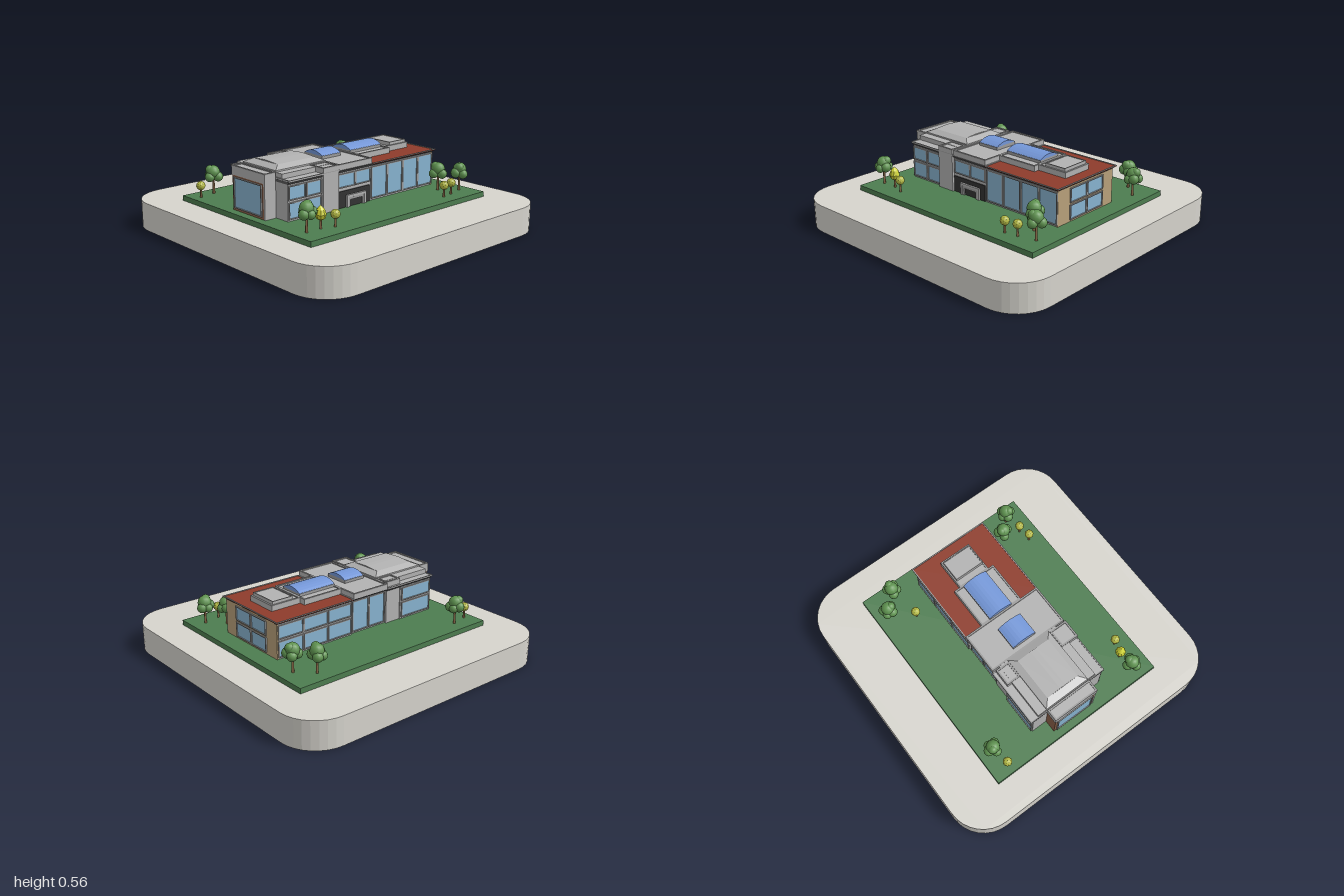
import * as THREE from 'three';

const paint = (color, extra = {}) => new THREE.MeshStandardMaterial({ color, ...extra });
const M = {
  plinth: paint(0xd6d4cd), lawn: paint(0x4d7d50), grey: paint(0xb2b2b2), trim: paint(0x9c9c9c),
  dark: paint(0x5c5c5c), door: paint(0x333333), tan: paint(0xb8a07a), brick: paint(0x8a6048),
  red: paint(0x8e3c2b), glass: paint(0x88b4d0), skylight: paint(0x7497d8),
  trunk: paint(0x8a6a48), leaf: paint(0x5f9350), bush: paint(0xb4b944, { flatShading: true }),
  lemon: paint(0xd0d436, { flatShading: true }),
};

export function createModel() {
  const model = new THREE.Group();
  model.name = 'officeBuilding';

  const add = (name, geo, mat, parent = model) => {
    const mesh = new THREE.Mesh(geo, mat);
    mesh.name = name;
    parent.add(mesh);
    return mesh;
  };
  // Box from its limits
  const box = (name, mat, x0, x1, y0, y1, z0, z1, parent = model) => {
    const m = add(name, new THREE.BoxGeometry(x1 - x0, y1 - y0, z1 - z0), mat, parent);
    m.position.set((x0 + x1) / 2, (y0 + y1) / 2, (z0 + z1) / 2);
    return m;
  };
  // Box whose top is widened (+) or narrowed (-) by dx, dz on each side
  const taper = (name, mat, x0, x1, y0, y1, z0, z1, dx, dz) => {
    const m = box(name, mat, x0, x1, y0, y1, z0, z1);
    const p = m.geometry.attributes.position;
    for (let i = 0; i < p.count; i++) {
      if (p.getY(i) < 0) continue;
      p.setX(i, p.getX(i) + Math.sign(p.getX(i)) * dx);
      p.setZ(i, p.getZ(i) + Math.sign(p.getZ(i)) * dz);
    }
    m.geometry = m.geometry.toNonIndexed();
    m.geometry.computeVertexNormals();
    return m;
  };
  const rect = (Type, x0, x1, y0, y1) => new Type([[x0, y0], [x1, y0], [x1, y1], [x0, y1]]
    .map(([x, y]) => new THREE.Vector2(x, y)));
  // Rectangular frame in the xy plane
  const frame = (x0, x1, y0, y1, t, depth) => {
    const s = rect(THREE.Shape, x0, x1, y0, y1);
    s.holes.push(rect(THREE.Path, x0 + t, x1 - t, y0 + t, y1 - t));
    return new THREE.ExtrudeGeometry(s, { depth, bevelEnabled: false });
  };
  // Flat-roofed block with a raised rim
  const parapet = (name, mat, x0, x1, y0, y1, z0, z1, t = 0.012, drop = 0.007) => {
    box(name, mat, x0, x1, y0, y1 - drop, z0, z1);
    const rim = add(name + 'Rim', frame(x0, x1, -z1, -z0, t, drop), M.trim);
    rim.rotation.x = -Math.PI / 2;
    rim.position.y = y1 - drop;
  };
  // Windows on a wall: columns [u0, u1] by rows [v0, v1], u to the viewer's right
  const windows = (name, cols, rows, x, z, angle) => {
    const g = new THREE.Group();
    g.name = name;
    for (const [u0, u1] of cols) for (const [v0, v1] of rows) {
      box('pane', M.glass, u0, u1, v0, v1, -0.01, 0.003, g);
      add('windowFrame', frame(u0 - 0.004, u1 + 0.004, v0 - 0.004, v1 + 0.004, 0.007, 0.009), M.trim, g);
    }
    g.position.set(x, 0, z);
    g.rotation.y = angle;
    model.add(g);
  };

  // Plinth with rounded corners
  const r = 0.25, s = new THREE.Shape();
  [[1, 1, 0], [-1, 1, 1], [-1, -1, 2], [1, -1, 3]].forEach(([sx, sy, q]) =>
    s.absarc(sx * (1 - r), sy * (1 - r), r, q * Math.PI / 2, (q + 1) * Math.PI / 2));
  add('plinth', new THREE.ExtrudeGeometry(s, { depth: 0.19, bevelEnabled: false, curveSegments: 4 }), M.plinth)
    .rotation.x = -Math.PI / 2;
  box('lawn', M.lawn, -0.78, 0.78, 0.19, 0.225, -0.65, 0.65);

  // Walls
  box('westWalls', M.grey, -0.64, -0.36, 0.225, 0.47, -0.27, 0.28);
  box('centreWalls', M.grey, -0.36, 0.06, 0.225, 0.47, -0.25, 0.28);
  box('eastWalls', M.grey, 0.06, 0.65, 0.225, 0.465, -0.26, 0.28);
  box('eastEndWall', M.tan, 0.645, 0.657, 0.225, 0.46, -0.262, 0.282);

  // Windows
  const upper = [0.36, 0.445], lower = [0.24, 0.34], tall = [0.24, 0.447];
  windows('westFrontWindows', [[-0.632, -0.505], [-0.49, -0.375]], [lower, upper], 0, 0.28, 0);
  windows('centreFrontWindows', [[-0.228, -0.09], [-0.08, 0.05]], [upper], 0, 0.28, 0);
  windows('eastFrontWindows', [0, 1, 2, 3].map(i => [0.066 + i * 0.149, 0.204 + i * 0.149]), [tall], 0, 0.28, 0);
  windows('eastEndWindows', [[-0.165, -0.012], [0, 0.152]], [[0.242, 0.335], [0.355, 0.445]], 0.657, 0, Math.PI / 2);
  windows('eastBackWindows', [0, 1, 2].map(i => [-0.645 + i * 0.196, -0.46 + i * 0.196]), [lower, upper], 0, -0.26, Math.PI);
  windows('centreBackWindows', [[-0.045, 0.085], [0.097, 0.228]], [tall], 0, -0.25, Math.PI);
  windows('westBackWindows', [[0.375, 0.63]], [lower, upper], 0, -0.27, Math.PI);

  // Entrance with nested portal
  box('entrance', M.door, -0.235, 0.05, 0.225, 0.335, 0.27, 0.286);
  [[0, 0.305, 0.30, M.grey], [0.016, 0.287, 0.295, M.trim]].forEach(([d, top, z, mat]) => {
    const [a, b, t] = [-0.165 + d, 0.005 - d, 0.016];
    box('portalPost', mat, a, a + t, 0.225, top, 0.28, z);
    box('portalPost', mat, b - t, b, 0.225, top, 0.28, z);
    box('portalLintel', mat, a, b, top - t, top, 0.28, z);
  });

  // East wing roof
  taper('eastCornice', M.dark, 0.06, 0.655, 0.458, 0.474, -0.262, 0.282, 0.016, 0.02);
  parapet('redRoof', M.red, 0.06, 0.672, 0.472, 0.48, -0.284, 0.302, 0.008, 0.004);

  // Centre roof with stepped roof rooms
  taper('centreCornice', M.dark, -0.23, 0.06, 0.458, 0.476, -0.262, 0.282, 0.003, 0.018);
  parapet('centreRoof', M.grey, -0.23, 0.06, 0.474, 0.515, -0.284, 0.292);
  parapet('middleRoofRoom', M.grey, 0.055, 0.36, 0.474, 0.515, -0.155, 0.16);
  parapet('eastRoofRoom', M.grey, 0.355, 0.58, 0.474, 0.515, -0.11, 0.12);
  parapet('roofHatch', M.grey, 0.41, 0.565, 0.505, 0.535, -0.1, 0.11, 0.006, 0.004);

  // Arched skylights
  for (const [x0, x1] of [[-0.19, -0.028], [0.06, 0.348]]) {
    box('skylightCurb', M.trim, x0, x1, 0.505, 0.53, -0.088, 0.088);
    const arch = new THREE.Shape();
    arch.moveTo(-0.09, 0);
    arch.quadraticCurveTo(0, 0.055, 0.09, 0);
    const m = add('skylight', new THREE.ExtrudeGeometry(arch,
      { depth: x1 - x0, bevelEnabled: false, curveSegments: 8 }), M.skylight);
    m.rotation.y = Math.PI / 2;
    m.position.set(x0, 0.528, 0);
  }

  // West roof: ledge, step and hipped top
  taper('westCornice', M.dark, -0.64, -0.23, 0.458, 0.476, -0.272, 0.282, 0.003, 0.016);
  parapet('westLedge', M.grey, -0.642, -0.23, 0.474, 0.485, -0.29, 0.298, 0.008, 0.004);
  box('westRoofStep', M.grey, -0.635, -0.23, 0.48, 0.513, -0.23, 0.225);
  box('hipRoofBase', M.grey, -0.635, -0.232, 0.51, 0.523, -0.165, 0.165);
  taper('hipRoof', M.grey, -0.635, -0.232, 0.523, 0.546, -0.165, 0.165, -0.05, -0.045);
  taper('hipRoofCrown', M.grey, -0.585, -0.282, 0.546, 0.553, -0.12, 0.12, 0, -0.1);

  // Stair towers at front and back
  parapet('frontTower', M.grey, -0.368, -0.238, 0.225, 0.518, 0.17, 0.298);
  parapet('backTower', M.grey, -0.362, -0.24, 0.225, 0.518, -0.264, -0.165);

  // West end bay
  box('westBay', M.brick, -0.724, -0.64, 0.225, 0.46, -0.158, 0.16);
  box('westBayFront', M.grey, -0.726, -0.64, 0.225, 0.46, 0.155, 0.167);
  parapet('westBayRoof', M.grey, -0.728, -0.642, 0.455, 0.517, -0.163, 0.17);
  windows('westBayWindow', [[-0.135, 0.135]], [[0.245, 0.44]], -0.724, 0, -Math.PI / 2);

  // Trees with clustered crowns
  const lobes = [[0, 0.148, 0, 0.046], [-0.03, 0.118, 0.012, 0.034], [0.032, 0.125, 0.008, 0.035],
    [0.006, 0.118, -0.032, 0.033], [0.004, 0.116, 0.034, 0.03], [0.018, 0.165, -0.012, 0.03]];
  const trees = [[-0.69, 0.51], [-0.595, -0.555], [0.58, -0.555], [0.685, -0.455], [0.58, 0.41], [0.685, 0.51]];
  trees.forEach(([x, z], i) => {
    const tree = new THREE.Group();
    tree.name = 'tree';
    add('trunk', new THREE.CylinderGeometry(0.006, 0.009, 0.12, 8), M.trunk, tree).position.y = 0.06;
    for (const [lx, ly, lz, lr] of lobes)
      add('crownLobe', new THREE.SphereGeometry(lr, 12, 8), M.leaf, tree).position.set(lx, ly, lz);
    tree.position.set(x, 0.225, z);
    tree.rotation.y = i * 1.9;
    model.add(tree);
  });

  // Small round shrubs
  for (const [x, z] of [[-0.49, 0.54], [0.475, 0.555], [0.565, 0.54], [-0.715, -0.53], [0.475, -0.41]]) {
    const shrub = new THREE.Group();
    shrub.name = 'shrub';
    add('stem', new THREE.CylinderGeometry(0.006, 0.008, 0.06, 7), M.trunk, shrub).position.y = 0.03;
    add('shrubBall', new THREE.IcosahedronGeometry(0.031, 1), M.bush, shrub).position.y = 0.08;
    shrub.position.set(x, 0.225, z);
    model.add(shrub);
  }

  // Pointed yellow tree
  const yellow = new THREE.Group();
  yellow.name = 'yellowTree';
  add('stem', new THREE.CylinderGeometry(0.006, 0.008, 0.07, 7), M.trunk, yellow).position.y = 0.035;
  const profile = [[0, 0.05], [0.026, 0.063], [0.036, 0.09], [0.026, 0.12], [0, 0.148]];
  add('yellowCrown', new THREE.LatheGeometry(profile.map(p => new THREE.Vector2(...p)), 9), M.lemon, yellow);
  yellow.position.set(-0.58, 0.225, 0.51);
  model.add(yellow);

  return model;
}
